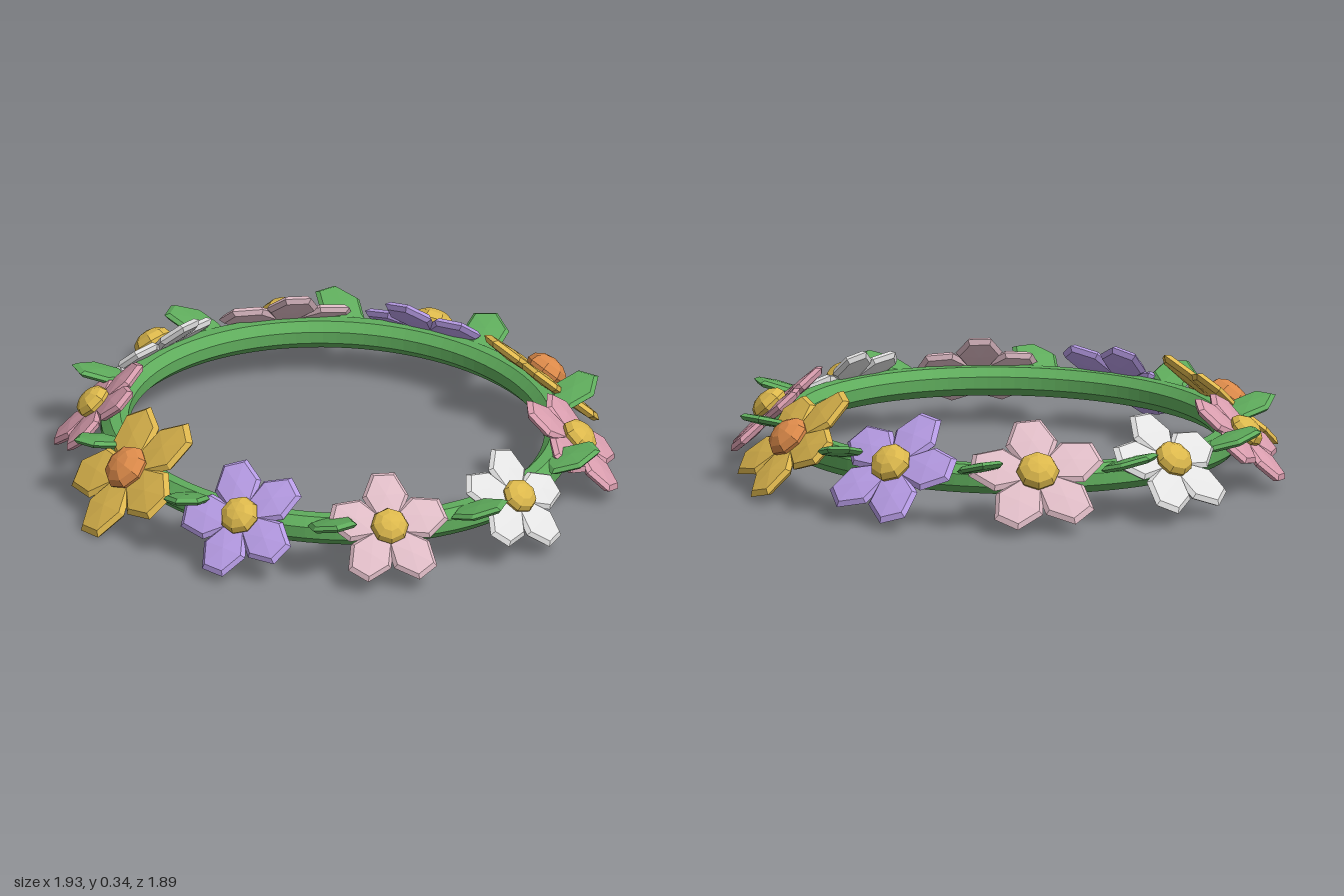
import * as THREE from 'three';

const mat = (name, color) => {
  const m = new THREE.MeshStandardMaterial({ color });
  m.name = name;
  return m;
};

// Faceted normals
const facet = (geo) => {
  const g = geo.toNonIndexed();
  g.computeVertexNormals();
  return g;
};

export function createModel() {
  const green = mat('leaf green', 0x5fac5c);
  const gold = mat('gold', 0xdfb84e);
  const yellow = mat('yellow', 0xdcb84c);
  const orange = mat('orange', 0xdc8a4a);
  const purple = mat('lavender', 0xb69be4);
  const pale = mat('pale pink', 0xdfbcc6);
  const pink = mat('rose pink', 0xdb9fb0);
  const white = mat('white', 0xe2e2e2);

  const model = new THREE.Group();
  model.name = 'flowerCrown';
  const CX = -0.0175, CZ = -0.022; // centre of the band
  const RX = 0.775, RZ = 0.715;    // band radii

  // Oval band with an eight-sided section
  const section = [];
  for (let i = 0; i <= 8; i++) {
    const a = (i + 0.5) * Math.PI / 4;
    section.push(new THREE.Vector2(RX + 0.052 * Math.cos(a), 0.052 * Math.sin(a)));
  }
  const band = new THREE.Mesh(facet(new THREE.LatheGeometry(section, 96)), green);
  band.name = 'band';
  band.position.set(CX, 0.157, CZ);
  band.scale.z = RZ / RX;
  model.add(band);

  // Flat six-sided blade lying in xy with a blunt tip along x, shared by petals and leaves
  const profile = [[0, -1], [0.84, -0.7], [1, 0], [0.84, 0.7], [0, 1]]
    .map(([x, y]) => new THREE.Vector2(x, y));
  const blade = facet(new THREE.LatheGeometry(profile, 6).rotateX(Math.PI / 2));
  const dome = facet(new THREE.SphereGeometry(1, 8, 6).rotateX(Math.PI / 2));

  // Group on the band at angle t (degrees, from the back towards +x), its z pointing outwards
  const place = (name, t, out, y) => {
    const a = THREE.MathUtils.degToRad(t);
    const g = new THREE.Group();
    g.name = name;
    g.position.set(CX + (RX + out) * Math.sin(a), y, CZ - (RZ + out) * Math.cos(a));
    g.rotation.y = Math.atan2(Math.sin(a) / RX, -Math.cos(a) / RZ);
    model.add(g);
    return g;
  };

  // Flowers: petal colour, centre colour, radius, spin in degrees
  const flowers = [
    [gold, orange, 0.235, 3], [pink, yellow, 0.21, 30], [white, yellow, 0.19, -3],
    [pale, yellow, 0.2, 17], [purple, yellow, 0.21, 45], [gold, orange, 0.25, 63],
    [pink, yellow, 0.2, 45], [white, yellow, 0.21, 18], [pale, yellow, 0.225, 24],
    [purple, yellow, 0.225, 6],
  ];
  flowers.forEach(([petalMat, centreMat, R, spin], i) => {
    const holder = place('flower', 6.5 + 36 * i, 0.055, 0.178);
    const head = new THREE.Group();
    head.name = 'flowerHead';
    head.rotation.x = -THREE.MathUtils.degToRad(47);
    holder.add(head);
    for (let k = 0; k < 5; k++) {
      const a = THREE.MathUtils.degToRad(spin + 72 * k);
      const petal = new THREE.Mesh(blade, petalMat);
      petal.name = 'petal';
      petal.position.set(Math.cos(a) * R * 0.58, Math.sin(a) * R * 0.58, 0);
      petal.rotation.z = a;
      petal.scale.set(R * 0.485, R * 0.39, 0.02);
      head.add(petal);
    }
    const centre = new THREE.Mesh(dome, centreMat);
    centre.name = 'flowerCentre';
    const r = R * 0.32;
    centre.scale.set(r, r, r * 0.65);
    centre.position.z = 0.028;
    head.add(centre);
  });

  // Leaves between the flowers, tips rising outwards and to one side
  for (let i = 0; i < 10; i++) {
    const holder = place('leafHolder', 20 + 36 * i, 0.09, 0.212);
    const turn = new THREE.Group();
    turn.name = 'leafTurn';
    turn.rotation.y = -THREE.MathUtils.degToRad(50);
    holder.add(turn);
    const leaf = new THREE.Mesh(blade, green);
    leaf.name = 'leaf';
    leaf.rotation.set(-Math.PI / 2, -THREE.MathUtils.degToRad(17), 0);
    leaf.scale.set(0.105, 0.078, 0.016);
    turn.add(leaf);
  }
  return model;
}
